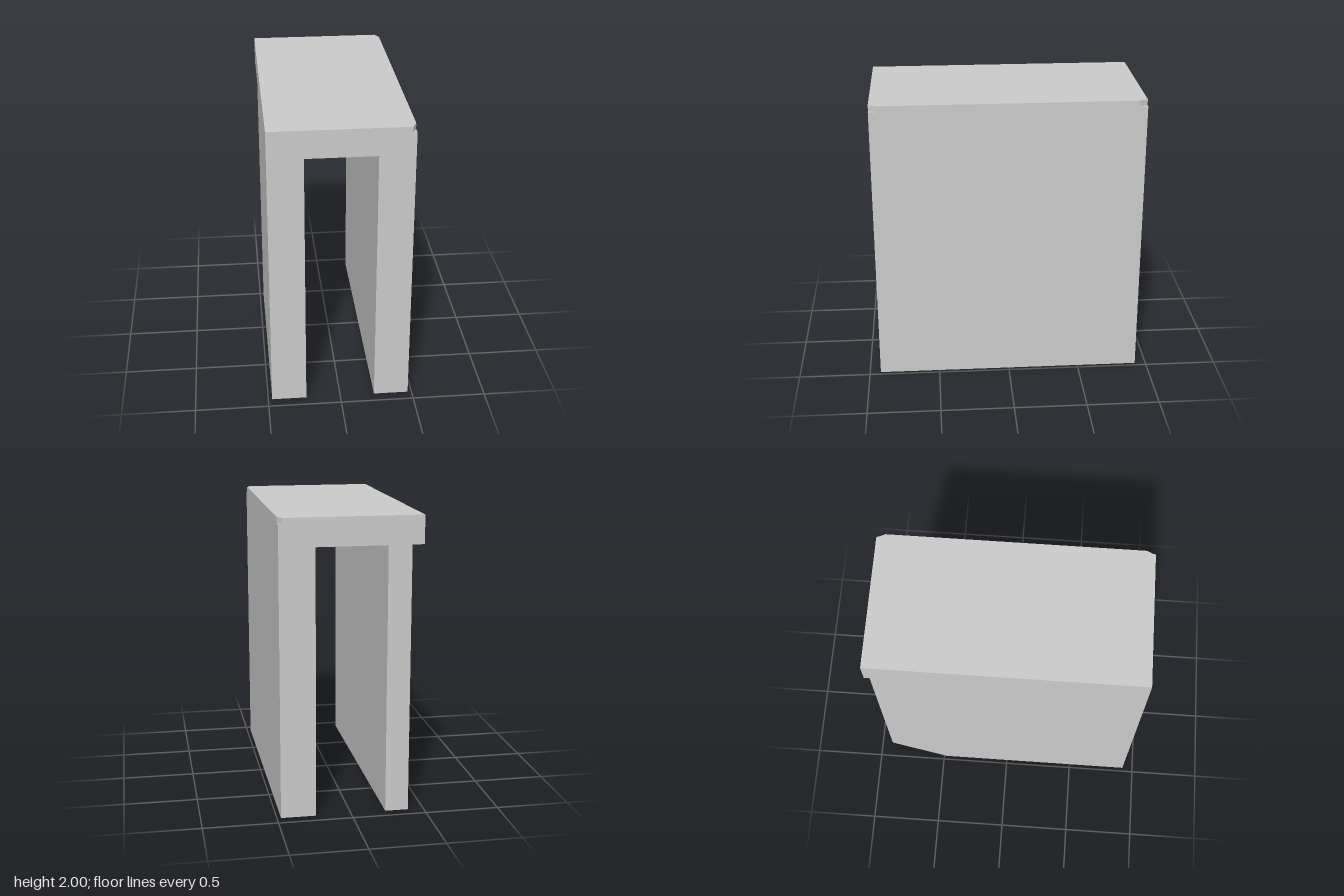
import * as THREE from 'three';

const W = 0.473, D = 0.923, SLOT = 0.236;
const H = 2, SLOT_TOP = 1.81, NOTCH_BASE = 1.96;

// Upright prism from a plan outline of [x, z] points
function prism(name, plan, bottom, top, material) {
  const shape = new THREE.Shape(plan.map(([x, z]) => new THREE.Vector2(x, -z)));
  const geometry = new THREE.ExtrudeGeometry(shape, { depth: top - bottom, bevelEnabled: false });
  geometry.rotateX(-Math.PI / 2).translate(0, bottom, 0);
  const mesh = new THREE.Mesh(geometry, material);
  mesh.name = name;
  return mesh;
}

export function createModel() {
  const model = new THREE.Group();
  model.name = 'channelBlock';
  const grey = new THREE.MeshStandardMaterial({ color: 0xcccccc, flatShading: true });

  // Straight wall
  model.add(prism('leftWall', [[SLOT, D], [W, D], [W, -D], [SLOT, -D]], 0, SLOT_TOP, grey));

  // Wall whose outer face tapers inward towards the back, under the overhanging top
  model.add(prism('rightWall',
    [[-W, D], [-SLOT, D], [-SLOT, -D], [-0.393, -D], [-W, -0.48]], 0, SLOT_TOP, grey));

  // Bridge joining the walls
  model.add(prism('bridge', [[-W, D], [W, D], [W, -D], [-W, -D]], SLOT_TOP, NOTCH_BASE, grey));

  // Top plate with its two left corners clipped
  model.add(prism('topPlate',
    [[-W, D], [0.445, D], [W, 0.865], [W, -0.865], [0.445, -D], [-W, -D]], NOTCH_BASE, H, grey));

  return model;
}
